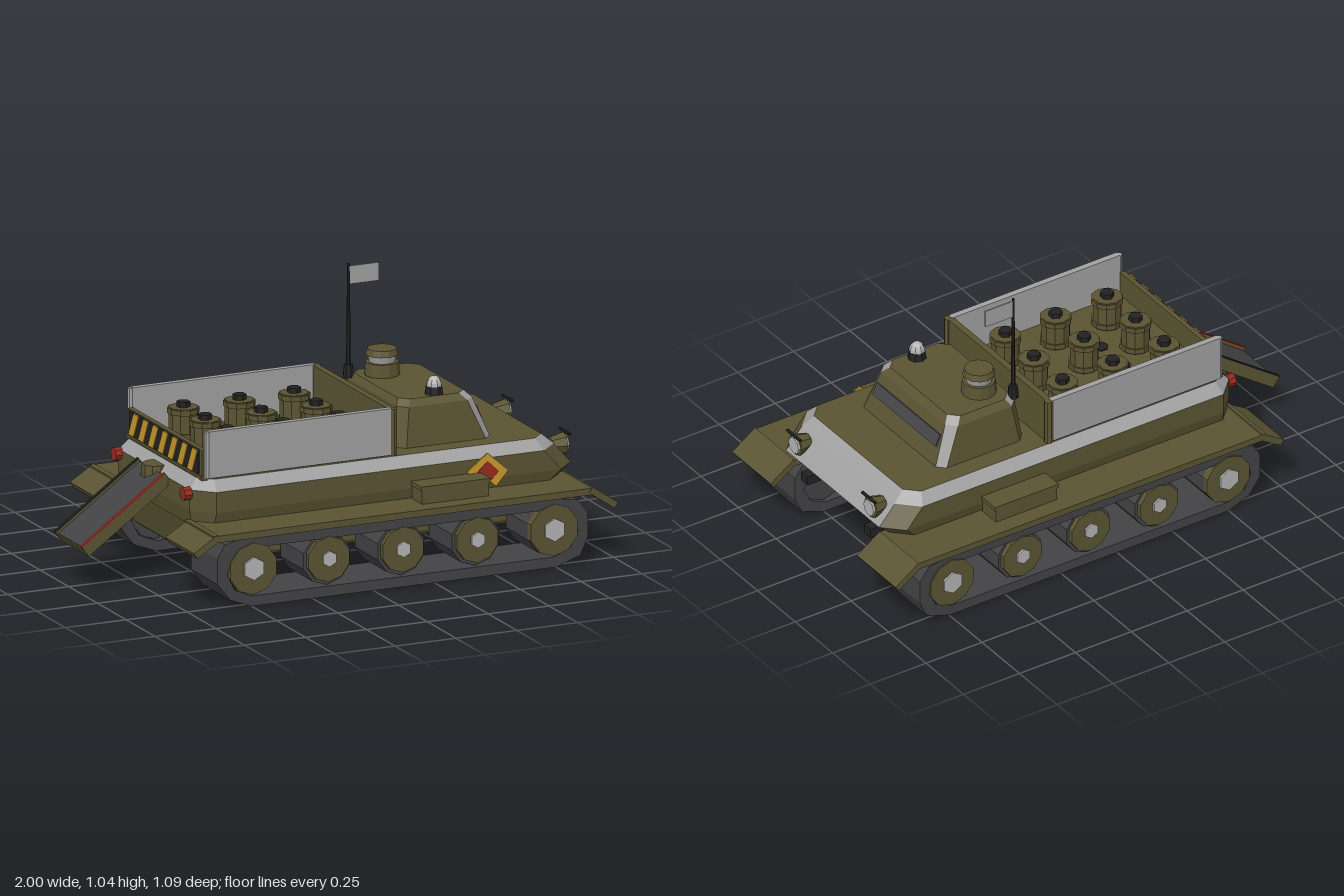
import * as THREE from 'three';

const mat = (name, color) => Object.assign(new THREE.MeshStandardMaterial({ color, flatShading: true }), { name });

export function createModel() {
  const olive = mat('olive paint', 0x5a5432), grey = mat('worn grey metal', 0xa0a0a0), dark = mat('track rubber', 0x434345),
    black = mat('black fittings', 0x222222), pale = mat('pale hub metal', 0xb4b4b4), red = mat('red paint', 0x962b20),
    yellow = mat('yellow paint', 0xc99b2d), glass = mat('dark glass', 0x47474b);
  const root = new THREE.Group();

  const add = (name, geo, m, x = 0, y = 0, z = 0, parent = root) => {
    const mesh = new THREE.Mesh(geo, m);
    mesh.name = name;
    mesh.position.set(x, y, z);
    parent.add(mesh);
    return mesh;
  };
  const box = (name, m, [x0, x1], [y0, y1], [z0, z1], parent) =>
    add(name, new THREE.BoxGeometry(x1 - x0, y1 - y0, z1 - z0), m, (x0 + x1) / 2, (y0 + y1) / 2, (z0 + z1) / 2, parent);
  const cyl = (name, m, r0, r1, h, x, y, z, sides = 8, axis = 'y', parent = root) => {
    const g = new THREE.CylinderGeometry(r1, r0, h, sides);
    if (axis === 'z') g.rotateX(Math.PI / 2);
    if (axis === 'x') g.rotateZ(-Math.PI / 2);
    return add(name, g, m, x, y, z, parent);
  };
  const shape = pts => new THREE.Shape(pts.map(p => new THREE.Vector2(...p)));
  const plate = (pts, depth) => new THREE.ExtrudeGeometry(shape(pts), { depth, bevelEnabled: false });

  // Stack of chamfered rectangles [y, x0, x1, halfZ, chamfer]; pick(level, side) gives a material index
  // Sides run: 0 nose, 1 corner, 2 right, 3 corner, 4 tail, 5 corner, 6 left, 7 corner
  const loft = (name, levels, mats, pick) => {
    const rings = levels.map(([y, x0, x1, z, c]) => [[x1, z - c], [x1, c - z], [x1 - c, -z], [x0 + c, -z],
      [x0, c - z], [x0, z - c], [x0 + c, z], [x1 - c, z]].map(p => [p[0], y, p[1]]));
    const faces = mats.map(() => []);
    for (let l = 0; l < rings.length - 1; l++) for (let i = 0; i < 8; i++) {
      const j = (i + 1) % 8, a = rings[l][i], b = rings[l][j], c = rings[l + 1][j], d = rings[l + 1][i];
      faces[pick(l, i)].push(a, b, c, a, c, d);
    }
    const lo = rings[0], hi = rings[rings.length - 1];
    for (let i = 1; i < 7; i++) faces[0].push(hi[0], hi[i], hi[i + 1], lo[0], lo[i + 1], lo[i]);
    const g = new THREE.BufferGeometry();
    g.setAttribute('position', new THREE.Float32BufferAttribute(faces.flat(2), 3));
    let start = 0;
    faces.forEach((f, i) => { g.addGroup(start, f.length, i); start += f.length; });
    g.computeVertexNormals();
    return add(name, g, mats);
  };

  // Hull with grey sloping nose plate and grey upper bevel
  loft('hull', [
    [0.12, -0.58, 0.70, 0.29, 0.02], [0.135, -0.60, 0.73, 0.30, 0.02], [0.22, -0.62, 0.75, 0.30, 0.02],
    [0.265, -0.63, 0.83, 0.30, 0.02], [0.27, -0.64, 0.84, 0.37, 0.06], [0.33, -0.65, 0.915, 0.385, 0.075],
    [0.41, -0.65, 0.845, 0.385, 0.075], [0.45, -0.615, 0.80, 0.345, 0.05],
  ], [olive, grey], (l, s) => (l === 6 || (l === 5 && s === 0) ? 1 : 0));

  // Cab with worn front corners and slanted windscreen
  loft('cab', [[0.45, 0.23, 0.615, 0.27, 0.03], [0.60, 0.245, 0.555, 0.248, 0.035], [0.625, 0.26, 0.53, 0.225, 0.035]],
    [olive, grey], (l, s) => (s === 1 || s === 7 || (l === 1 && s === 3) ? 1 : 0));
  const windscreen = add('windscreen', new THREE.BoxGeometry(0.009, 0.05, 0.42), glass, 0.582, 0.538, 0);
  windscreen.rotation.z = Math.atan2(0.06, 0.15);

  // Cargo bed
  box('bedFloor', olive, [-0.61, 0.175], [0.445, 0.46], [-0.33, 0.33]);
  box('bedFrontWall', olive, [0.155, 0.18], [0.45, 0.632], [-0.325, 0.325]);
  box('tailgate', olive, [-0.605, -0.585], [0.45, 0.56], [-0.32, 0.32]);
  for (const s of [-1, 1]) {
    const wall = box('bedSideWall', grey, [-0.585, 0.165], [0.455, 0.635], [-0.0125, 0.0125]);
    wall.position.z = s * 0.333;
    cyl('bedCornerPost', olive, 0.018, 0.018, 0.18, 0.172, 0.542, s * 0.333);
    cyl('bedRearPost', grey, 0.013, 0.013, 0.178, -0.588, 0.543, s * 0.333);
  }
  // Slanted hazard bars across the tailgate
  box('hazardPanel', black, [-0.611, -0.605], [0.465, 0.555], [-0.3, 0.3]);
  for (let i = 0; i < 7; i++) {
    const bar = add('hazardStripe', plate([[-0.045, 0], [0, 0], [0.045, 0.09], [0, 0.09]], 0.004), yellow,
      -0.611, 0.465, -0.255 + i * 0.085);
    bar.rotation.y = -Math.PI / 2;
  }
  // Nine barrels
  for (const x of [-0.44, -0.21, 0.015]) for (const z of [-0.19, 0, 0.19]) {
    cyl('barrel', olive, 0.055, 0.055, 0.12, x, 0.52, z, 10);
    for (const y of [0.475, 0.567]) cyl('barrelHoop', olive, 0.061, 0.061, 0.02, x, y, z, 10);
    cyl('barrelCap', black, 0.026, 0.026, 0.02, x, 0.59, z, 6);
  }
  for (const z of [-0.08, 0.07]) cyl('oilPatch', black, 0.03, 0.03, 0.006, -0.33, 0.462, z, 7);

  // Roof hatch, lamp, aerial and flag
  cyl('hatchBase', olive, 0.067, 0.063, 0.05, 0.345, 0.652, -0.125, 12);
  cyl('hatchRing', grey, 0.05, 0.056, 0.03, 0.345, 0.69, -0.125, 12);
  cyl('hatchLid', olive, 0.062, 0.055, 0.024, 0.345, 0.716, -0.125, 12);
  cyl('roofLampBase', black, 0.036, 0.032, 0.03, 0.41, 0.64, 0.19);
  const dome = add('roofLampDome', new THREE.SphereGeometry(0.031, 8, 4, 0, Math.PI * 2, 0, Math.PI / 2), pale, 0.41, 0.652, 0.19);
  dome.scale.y = 1.35;
  cyl('aerialBase', black, 0.022, 0.018, 0.05, 0.245, 0.632, -0.205);
  cyl('aerialMast', black, 0.009, 0.005, 0.41, 0.245, 0.84, -0.205, 6);
  box('flag', grey, [0.247, 0.37], [0.965, 1.035], [-0.208, -0.202]);

  // Both running sides
  const outer = [[-0.50, 0], [0.75, 0], [0.85, 0.035], [0.88, 0.1], [0.88, 0.195], [0.84, 0.25], [0.76, 0.262],
    [-0.56, 0.262], [-0.61, 0.25], [-0.64, 0.2], [-0.64, 0.1], [-0.59, 0.035]];
  const inner = [[-0.50, 0.04], [0.74, 0.04], [0.81, 0.07], [0.84, 0.13], [0.82, 0.19], [0.76, 0.225],
    [-0.52, 0.225], [-0.58, 0.19], [-0.60, 0.13], [-0.57, 0.07]];
  const trackShape = shape(outer);
  trackShape.holes.push(new THREE.Path(inner.map(p => new THREE.Vector2(...p))));
  const trackGeo = new THREE.ExtrudeGeometry(trackShape, { depth: 0.23, bevelEnabled: false });
  for (const s of [-1, 1]) {
    add('track', trackGeo, dark, 0, 0, s * 0.417 - 0.115);
    for (const x of [-0.495, -0.185, 0.12, 0.425, 0.74]) {
      const end = x < -0.4 || x > 0.7, hub = end ? 0.045 : 0.031;
      cyl('wheelTyre', dark, 0.1, 0.1, 0.2, x, 0.142, s * 0.417, 10, 'z');
      cyl('wheelDisc', olive, end ? 0.1 : 0.088, end ? 0.1 : 0.088, 0.03, x, 0.145, s * 0.522, 10, 'z');
      cyl('wheelHub', pale, hub, hub, 0.012, x, 0.147, s * 0.539, 6, 'z');
    }
    // Fender with drooping end flaps
    const fender = box('fender', olive, [-0.66, 0.9], [0.264, 0.29], [-0.128, 0.128]);
    fender.position.z = s * 0.414;
    const front = add('frontFlap', new THREE.BoxGeometry(0.125, 0.026, 0.258), olive, 0.94, 0.248, s * 0.416);
    front.rotation.z = -0.6;
    const rear = add('rearFlap', new THREE.BoxGeometry(0.115, 0.026, 0.25), olive, -0.685, 0.253, s * 0.416);
    rear.rotation.z = 0.55;
    // Stowage box with lid
    const stow = box('stowageBox', olive, [0.228, 0.502], [0.29, 0.345], [-0.045, 0.045]);
    stow.position.z = s * 0.428;
    const lid = box('stowageLid', olive, [0.223, 0.507], [0.342, 0.358], [-0.048, 0.048]);
    lid.position.z = s * 0.428;
    // Lamps, guards and tow hooks
    cyl('headlightShell', olive, 0.03, 0.044, 0.055, 0.885, 0.387, s * 0.25, 8, 'x');
    cyl('headlightLens', pale, 0.034, 0.034, 0.012, 0.916, 0.387, s * 0.25, 8, 'x');
    const guard = box('headlightGuard', black, [0.915, 0.925], [0.428, 0.436], [-0.045, 0.045]);
    guard.position.z = s * 0.25;
    box('towHook', black, [0.78, 0.9], [0.235, 0.272], [s * 0.21 - 0.022, s * 0.21 + 0.022]);
    cyl('tailLight', red, 0.026, 0.026, 0.03, -0.66, 0.395, s * 0.3, 8, 'x');
  }

  // Diamond marking on the left flank
  add('markingChevron', plate([[0.45, 0.365], [0.535, 0.43], [0.62, 0.355], [0.57, 0.298], [0.545, 0.32],
    [0.582, 0.355], [0.535, 0.4], [0.475, 0.345]], 0.006), yellow, 0, 0, 0.386);
  add('markingDiamond', plate([[0.485, 0.35], [0.535, 0.312], [0.582, 0.355], [0.535, 0.4]], 0.006), red, 0, 0, 0.386);

  // Lowered rear ramp with side rails
  const ramp = new THREE.Group();
  ramp.name = 'rearRamp';
  ramp.position.set(-0.818, 0.285, 0);
  ramp.rotation.z = 0.62;
  root.add(ramp);
  box('rampDeck', olive, [-0.21, 0.21], [-0.022, 0.008], [-0.115, 0.115], ramp);
  box('rampTread', dark, [-0.205, 0.205], [0.008, 0.014], [-0.105, 0.105], ramp);
  for (const s of [-1, 1]) {
    box('rampRail', olive, [-0.21, 0.21], [-0.024, 0.022], [s * 0.114 - 0.007, s * 0.114 + 0.007], ramp);
    box('rampRailStrip', s > 0 ? red : black, [-0.21, 0.21], [0.022, 0.027], [s * 0.114 - 0.007, s * 0.114 + 0.007], ramp);
  }
  cyl('rampHinge', olive, 0.055, 0.05, 0.05, -0.645, 0.41, 0, 10);

  return root;
}
